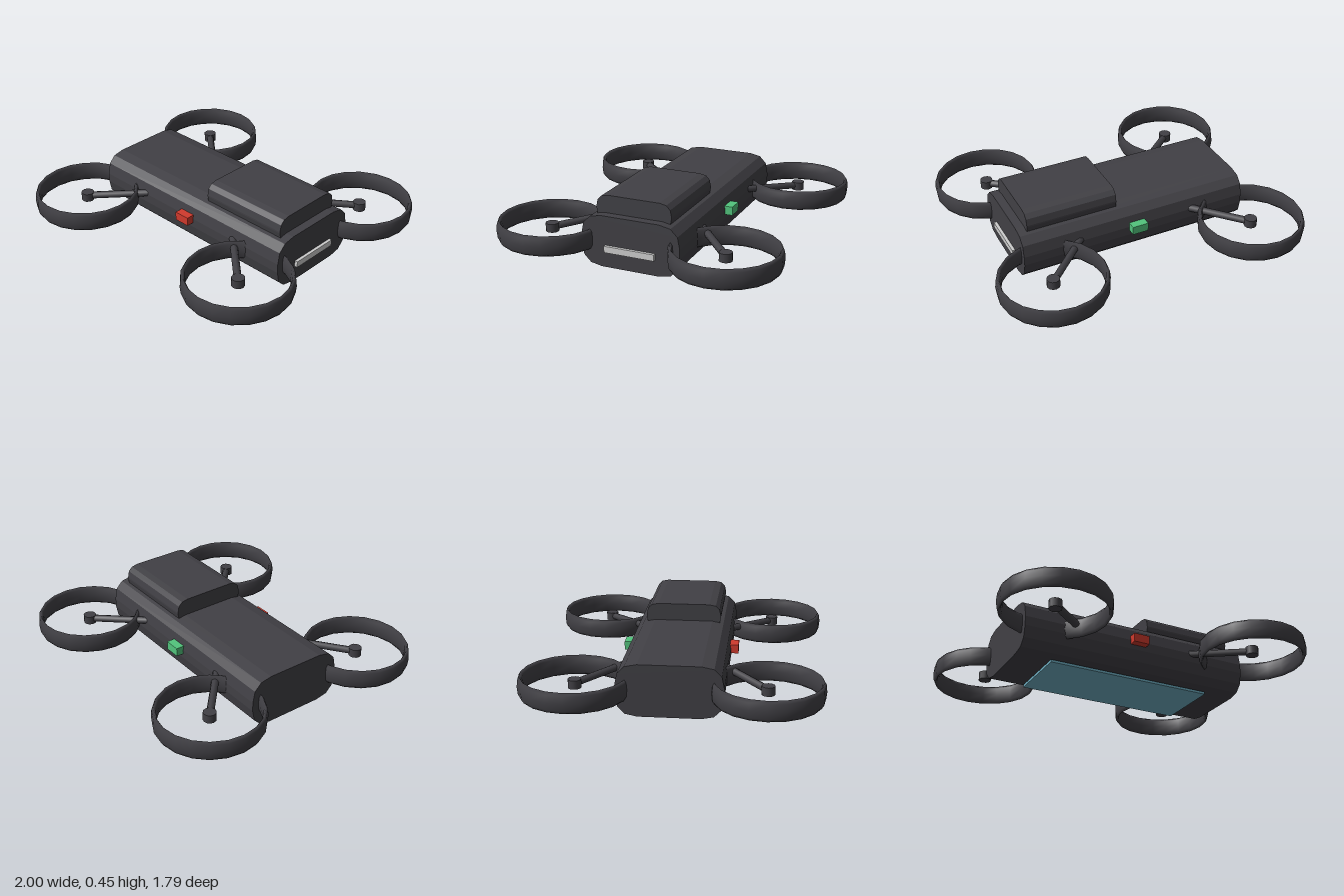
import * as THREE from 'three';

const mat = (name, color) => {
  const m = new THREE.MeshStandardMaterial({ color });
  m.name = name;
  return m;
};

export function createModel() {
  const charcoal = mat('charcoal', 0x414045);
  const red = mat('red', 0xd03a2d);
  const green = mat('green', 0x52c47d);
  const silver = mat('silver', 0xcdcdcd);
  const paleBlue = mat('pale blue', 0x72b2c6);

  const model = new THREE.Group();
  model.name = 'quadcopter';

  const add = (name, geometry, material, parent = model) => {
    const mesh = new THREE.Mesh(geometry, material);
    mesh.name = name;
    parent.add(mesh);
    return mesh;
  };

  // Box given by its limits on each axis
  const block = (name, material, [x0, x1], [y0, y1], [z0, z1]) =>
    add(name, new THREE.BoxGeometry(x1 - x0, y1 - y0, z1 - z0), material)
      .position.set((x0 + x1) / 2, (y0 + y1) / 2, (z0 + z1) / 2);

  // Rounded cross-section in z and y, extruded along x
  const hull = (name, [x0, x1], [y0, y1], w, r) => {
    const s = new THREE.Shape();
    s.moveTo(-w + r, y0);
    s.lineTo(w - r, y0);
    s.quadraticCurveTo(w, y0, w, y0 + r);
    s.lineTo(w, y1 - r);
    s.quadraticCurveTo(w, y1, w - r, y1);
    s.lineTo(-w + r, y1);
    s.quadraticCurveTo(-w, y1, -w, y1 - r);
    s.lineTo(-w, y0 + r);
    s.quadraticCurveTo(-w, y0, -w + r, y0);
    const g = new THREE.ExtrudeGeometry(s, { depth: x1 - x0, bevelEnabled: false, curveSegments: 3 });
    g.rotateY(Math.PI / 2).translate(x0, 0, 0);
    add(name, g, charcoal);
  };

  hull('body', [-0.747, 0.747], [0.02, 0.338], 0.315, 0.13);
  hull('topPod', [0.107, 0.692], [0.287, 0.447], 0.24, 0.075);

  // Underside panel and lights
  block('bellyPanel', paleBlue, [-0.533, 0.533], [0, 0.016], [-0.213, 0.213]);
  block('frontBeacon', red, [-0.052, 0.052], [0.18, 0.235], [0.3, 0.363]);
  block('rearBeacon', green, [-0.052, 0.052], [0.18, 0.235], [-0.363, -0.3]);
  block('noseLight', silver, [0.74, 0.766], [0.118, 0.158], [-0.16, 0.16]);

  // Rotor guard: a ring stretched tall
  const ringGeo = new THREE.TorusGeometry(0.317, 0.016, 8, 20);
  ringGeo.rotateX(Math.PI / 2).scale(1, 3.9, 1);
  const hubGeo = new THREE.CylinderGeometry(0.04, 0.04, 0.053, 12);

  for (const sx of [-1, 1]) for (const sz of [-1, 1]) {
    const rotor = new THREE.Group();
    rotor.name = `${sz > 0 ? 'front' : 'rear'}${sx > 0 ? 'Left' : 'Right'}Rotor`;
    rotor.position.set(sx * 0.667, 0.182, sz * 0.562);
    model.add(rotor);
    add('guardRing', ringGeo, charcoal, rotor);
    add('hub', hubGeo, charcoal, rotor);

    // Arm from the hub into the body
    const end = new THREE.Vector3(-sx * 0.32, 0.03, -sz * 0.29);
    const arm = add('arm', new THREE.CylinderGeometry(0.023, 0.023, end.length(), 8), charcoal, rotor);
    arm.position.copy(end).multiplyScalar(0.5);
    arm.quaternion.setFromUnitVectors(new THREE.Vector3(0, 1, 0), end.clone().normalize());
  }

  return model;
}
